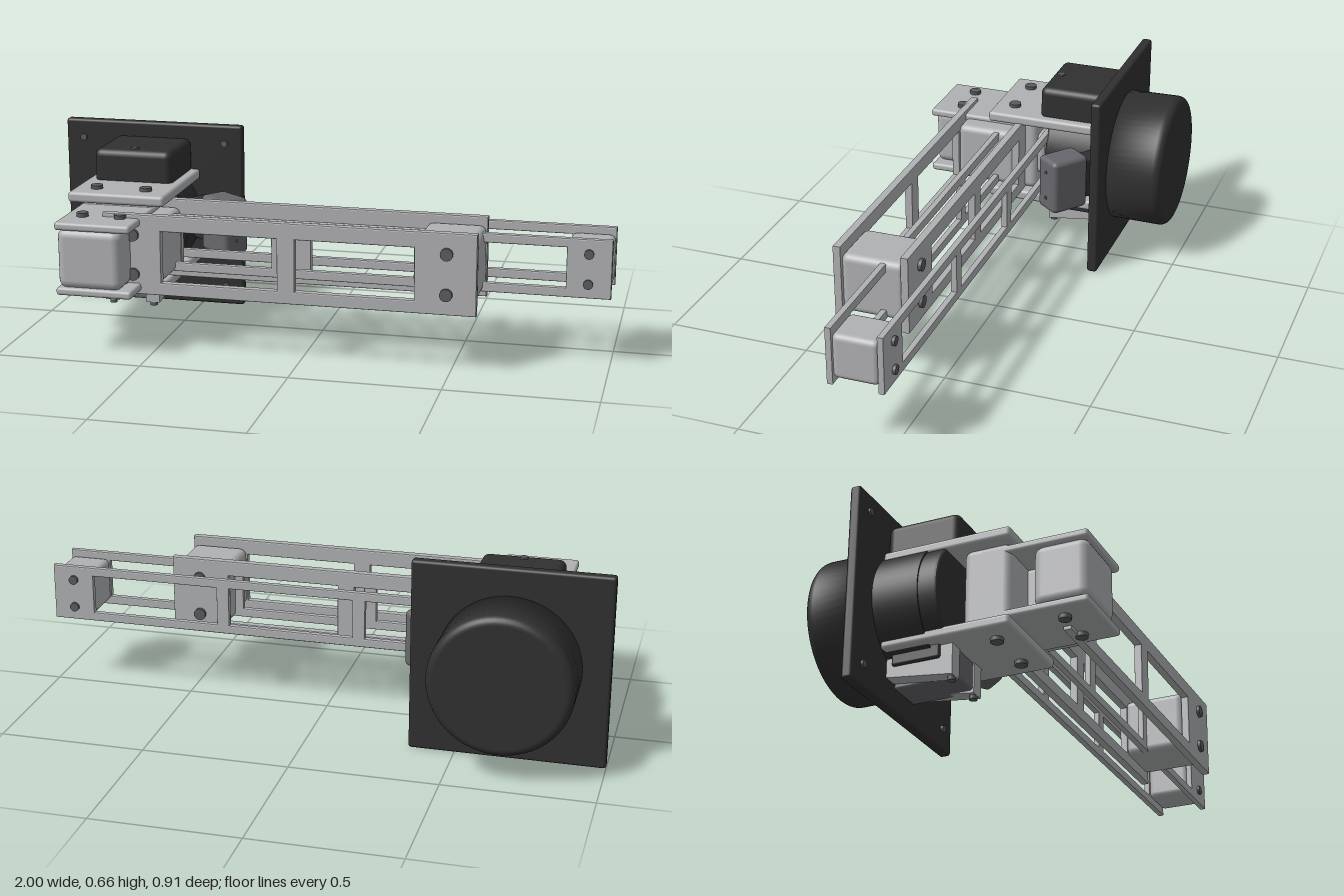
import * as THREE from 'three';
import { RoundedBoxGeometry } from 'three/addons/geometries/RoundedBoxGeometry.js';

export function createModel() {
  const root = new THREE.Group();
  const mat = (name, color) => {
    const m = new THREE.MeshStandardMaterial({ color });
    m.name = name;
    return m;
  };
  const light = mat('light metal', 0xb0b1b3);
  const dark = mat('black housing', 0x303030);
  const grey = mat('grey sensor', 0x66666c);
  const steel = mat('bolt steel', 0x5a5b5f);

  const add = (name, geo, material, parent = root) => {
    const m = new THREE.Mesh(geo, material);
    m.name = name;
    parent.add(m);
    return m;
  };
  // Rounded box given by its extents on each axis
  const box = (name, material, [x0, x1], [y0, y1], [z0, z1], r = 0.02) => {
    const w = x1 - x0, h = y1 - y0, d = z1 - z0;
    const m = add(name, new RoundedBoxGeometry(w, h, d, 3, Math.min(r, w * 0.49, h * 0.49, d * 0.49)), material);
    m.position.set((x0 + x1) / 2, (y0 + y1) / 2, (z0 + z1) / 2);
    return m;
  };
  // Bolts along y or z
  const boltY = (name, x, z, y0, y1, r) => {
    add(name, new THREE.CylinderGeometry(r, r, y1 - y0, 20), steel).position.set(x, (y0 + y1) / 2, z);
  };
  const boltZ = (name, x, y, z0, z1, r) => {
    const m = add(name, new THREE.CylinderGeometry(r, r, z1 - z0, 20), steel);
    m.rotation.x = Math.PI / 2;
    m.position.set(x, y, (z0 + z1) / 2);
  };
  // Flat link plate with rectangular windows, facing z
  const linkPlate = (name, [x0, x1], [y0, y1], [z0, z1], windows, [wy0, wy1]) => {
    const b = 0.004;
    const rect = (p, a0, b0, a1, b1) =>
      p.moveTo(a0, b0).lineTo(a1, b0).lineTo(a1, b1).lineTo(a0, b1).closePath();
    const s = rect(new THREE.Shape(), x0 + b, y0 + b, x1 - b, y1 - b);
    for (const [a, c] of windows) s.holes.push(rect(new THREE.Path(), a - b, wy0 - b, c + b, wy1 + b));
    const g = new THREE.ExtrudeGeometry(s, {
      depth: z1 - z0 - 2 * b, bevelEnabled: true, bevelSize: b, bevelThickness: b, bevelSegments: 2,
    });
    add(name, g, light).position.z = z0 + b;
  };

  // Mounting plate with corner screws
  box('mountingPlate', dark, [-1, -0.345], [0, 0.66], [-0.257, -0.22], 0.01);
  for (const x of [-0.935, -0.41])
    for (const y of [0.07, 0.595]) boltZ('plateScrew', x, y, -0.225, -0.212, 0.012);

  // Round rear drum with a softened rim
  const profile = [[0, 0], [0.236, 0], [0.238, 0.17]].map(p => new THREE.Vector2(...p));
  for (let i = 0; i <= 6; i++) {
    const a = (i / 6) * Math.PI / 2;
    profile.push(new THREE.Vector2(0.21 + 0.028 * Math.cos(a), 0.172 + 0.028 * Math.sin(a)));
  }
  profile.push(new THREE.Vector2(0, 0.2));
  const drum = add('rearDrum', new THREE.LatheGeometry(profile, 64), dark);
  drum.rotation.x = -Math.PI / 2;
  drum.position.set(-0.672, 0.332, -0.255);

  // Front turret: round base and a round nose cut flat above and below
  const base = add('turretBase', new THREE.CylinderGeometry(0.2, 0.2, 0.16, 56), dark);
  base.rotation.x = Math.PI / 2;
  base.position.set(-0.7, 0.328, -0.145);
  const nose = new THREE.Shape();
  const cut = 0.8;
  nose.absarc(0, 0, 0.185, -cut, cut, false);
  nose.absarc(0, 0, 0.185, Math.PI - cut, Math.PI + cut, false);
  nose.closePath();
  add('turretNose', new THREE.ExtrudeGeometry(nose, {
    depth: 0.21, bevelSize: 0.01, bevelThickness: 0.01, bevelSegments: 3, curveSegments: 20,
  }), dark).position.set(-0.7, 0.328, -0.22);

  // Motor housing on top
  box('motorHousing', dark, [-0.81, -0.53], [0.48, 0.61], [-0.225, 0.027], 0.025);
  boltY('housingScrew', -0.67, -0.008, 0.6, 0.616, 0.014);

  // Wedge-shaped support below, with grey insert
  const wedge = new THREE.Shape();
  wedge.moveTo(0.005, 0.06).lineTo(0.005, 0.17).lineTo(-0.22, 0.17).lineTo(-0.22, 0.088).closePath();
  for (const x of [-0.79, -0.64]) {
    const g = new THREE.ExtrudeGeometry(wedge, { depth: 0.05, bevelEnabled: false });
    const m = add('lowerSupport', g, light);
    m.rotation.y = -Math.PI / 2;
    // profile x runs along world z after the turn
    m.position.set(x + 0.05, 0, 0);
    boltY('supportScrew', x + 0.025, -0.008, 0.048, 0.07, 0.013);
  }
  box('supportInsert', grey, [-0.74, -0.61], [0.07, 0.17], [-0.22, 0], 0.008);
  box('supportBlock', dark, [-0.8, -0.56], [0.12, 0.17], [-0.2, -0.035], 0.008);

  // Angled sensor on the side of the turret
  const sensor = new THREE.Group();
  sensor.name = 'sideSensor';
  sensor.position.set(-0.382, 0.332, -0.113);
  sensor.rotation.y = -0.66;
  root.add(sensor);
  add('sensorBody', new RoundedBoxGeometry(0.145, 0.2, 0.105, 3, 0.018), grey, sensor);
  add('sensorNeck', new RoundedBoxGeometry(0.1, 0.15, 0.07, 3, 0.01), dark, sensor).position.x = -0.1;
  for (const y of [-0.05, 0.05]) {
    const s = add('sensorScrew', new THREE.CylinderGeometry(0.006, 0.006, 0.006, 12), steel, sensor);
    s.rotation.z = Math.PI / 2;
    s.position.set(0.073, y, 0);
  }

  // Shoulder brackets: paired horizontal plates around a block
  for (const y of [0.163, 0.463])
    box('innerBracketPlate', light, [-0.84, -0.5], [y, y + 0.037], [-0.22, 0.215], 0.012);
  box('innerShoulderBlock', light, [-0.8, -0.54], [0.195, 0.468], [0.04, 0.2], 0.025);
  for (const x of [-0.76, -0.585]) boltY('innerBracketBolt', x, 0.14, 0.15, 0.512, 0.021);
  for (const y of [0.208, 0.43])
    box('outerBracketPlate', light, [-0.8, -0.54], [y, y + 0.027], [0.1, 0.455], 0.01);
  box('outerShoulderBlock', light, [-0.795, -0.575], [0.23, 0.435], [0.27, 0.452], 0.03);
  for (const x of [-0.735, -0.605]) boltY('outerBracketBolt', x, 0.353, 0.194, 0.47, 0.02);

  // Outer arm: two windowed plates, blocks and cross bolts
  const outerWindows = [[-0.47, -0.075], [-0.015, 0.38]];
  for (const [z, x0] of [[0.318, -0.67], [0.085, -0.67]])
    linkPlate('outerArmPlate', [x0, 0.583], [0.197, 0.47], [z, z + 0.028], outerWindows, [0.24, 0.416]);
  for (const x of [-0.67, 0.38])
    box('outerArmBlock', light, [x, x + 0.2], [0.232, 0.442], [0.1, 0.322], 0.025);
  for (const x of [-0.565, 0.485])
    for (const y of [0.266, 0.401]) boltZ('outerArmBolt', x, y, 0.073, 0.356, 0.021);

  // Inner arm: longer, narrower pair of plates
  const innerWindows = [[-0.56, -0.135], [-0.09, 0.35], [0.395, 0.85]];
  for (const z of [-0.006, 0.164])
    linkPlate('innerArmPlate', [-0.7, 0.997], [0.236, 0.434], [z, z + 0.022], innerWindows, [0.267, 0.403]);
  for (const x of [-0.7, 0.85])
    box('innerArmBlock', light, [x, x + 0.145], [0.256, 0.412], [0.012, 0.168], 0.02);
  for (const x of [-0.62, 0.922])
    for (const y of [0.284, 0.385]) boltZ('innerArmBolt', x, y, -0.016, 0.194, 0.016);

  return root;
}
